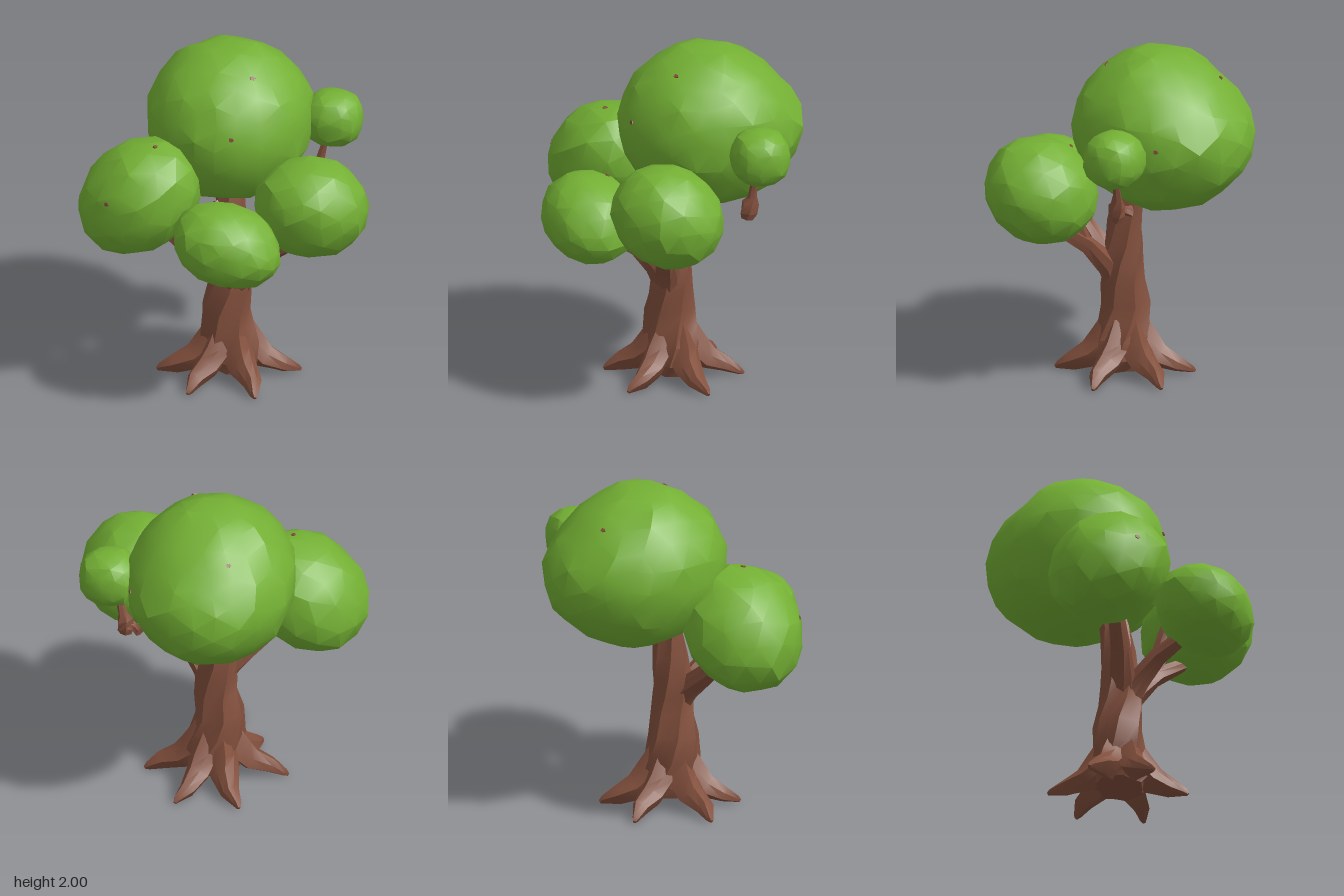
import * as THREE from 'three';
import { mergeVertices, toCreasedNormals } from 'three/addons/utils/BufferGeometryUtils.js';

const V = (x, y, z) => new THREE.Vector3(x, y, z);

// Repeatable value in -1..1 from a position and a seed
function jitter(p, seed) {
  const s = Math.sin(Math.round(p.x * 100) * 1.27 + Math.round(p.y * 100) * 3.11 + Math.round(p.z * 100) * 7.47 + seed * 5.3) * 4375.85;
  return (s - Math.floor(s)) * 2 - 1;
}

// Tapered limb lofted along [x, y, z, radius] stations, with gnarled ridges that twist
function limb(stations, sides, ridge = 0.1, twist = 0.25) {
  const centres = stations.map(s => V(s[0], s[1], s[2]));
  const n = centres.length;
  const ref = centres[n - 1].clone().sub(centres[0]).normalize().cross(V(0, 1, 0));
  if (ref.length() < 0.25) ref.set(0, 0, 1);
  const pos = [], index = [];
  centres.forEach((c, i) => {
    const t = centres[Math.min(i + 1, n - 1)].clone().sub(centres[Math.max(i - 1, 0)]).normalize();
    const u = ref.clone().addScaledVector(t, -ref.dot(t)).normalize();
    const v = t.clone().cross(u);
    for (let j = 0; j < sides; j++) {
      const a = (j / sides) * Math.PI * 2 + i * twist;
      const r = stations[i][3] * (1 + ridge * (j % 2 ? -1 : 1) + ridge * 0.5 * Math.sin(j * 2.4 + i * 1.3));
      const p = c.clone().addScaledVector(u, r * Math.cos(a)).addScaledVector(v, r * Math.sin(a));
      pos.push(p.x, Math.max(p.y, 0), p.z);
    }
  });
  const first = n * sides, last = first + 1;
  for (const c of [centres[0], centres[n - 1]]) pos.push(c.x, c.y, c.z);
  for (let j = 0; j < sides; j++) {
    const k = (j + 1) % sides;
    for (let i = 0; i < n - 1; i++) {
      const a = i * sides + j, b = i * sides + k;
      index.push(a, b, b + sides, a, b + sides, a + sides);
    }
    index.push(first, k, j, last, (n - 1) * sides + j, (n - 1) * sides + k);
  }
  const g = new THREE.BufferGeometry();
  g.setAttribute('position', new THREE.Float32BufferAttribute(pos, 3));
  g.setIndex(index);
  return toCreasedNormals(g, 0.5);
}

// Uneven faceted leaf clump: power above 2 is boxier, lean slants it in x and z,
// backCut trims the upper back
function clump({ radii, seed, detail = 2, power = 2, lean = [0, 0], backCut = 0 }) {
  let g = new THREE.IcosahedronGeometry(1, detail);
  g.deleteAttribute('uv');
  g.deleteAttribute('normal');
  g = mergeVertices(g, 1e-3);
  const p = g.attributes.position, q = V(0, 0, 0);
  for (let i = 0; i < p.count; i++) {
    q.fromBufferAttribute(p, i);
    const bump = 1 + 0.02 * jitter(q, seed) - backCut * 2 * Math.max(0, q.y) * Math.max(0, -q.z);
    const slide = V(jitter(q, seed + 1), jitter(q, seed + 2), jitter(q, seed + 3));
    q.addScaledVector(slide, 0.2 / (detail + 1));
    const size = (Math.abs(q.x) ** power + Math.abs(q.y) ** power + Math.abs(q.z) ** power) ** (1 / power);
    q.multiplyScalar(bump / size);
    const y = q.y * radii[1];
    p.setXYZ(i, q.x * radii[0] + lean[0] * y, y, q.z * radii[2] + lean[1] * y);
  }
  return toCreasedNormals(g, 0.42);
}

export function createModel() {
  const tree = new THREE.Group();
  tree.name = 'tree';
  const bark = new THREE.MeshStandardMaterial({ color: 0x83503d });
  bark.name = 'bark brown';
  const leaf = new THREE.MeshStandardMaterial({ color: 0x74b034 });
  leaf.name = 'leaf green';
  const add = (name, geometry, material) => {
    const m = new THREE.Mesh(geometry, material);
    m.name = name;
    tree.add(m);
    return m;
  };

  // Trunk, swaying as it runs up into the crown
  add('trunk', limb([
    [0, 0.05, 0, 0.14], [0.01, 0.12, 0, 0.17], [0.01, 0.2, 0, 0.16], [-0.015, 0.3, 0.005, 0.148],
    [-0.025, 0.42, 0.01, 0.138], [0.005, 0.56, 0.015, 0.122], [0.005, 0.68, 0.01, 0.115], [-0.005, 0.8, 0, 0.104],
    [0, 0.92, -0.005, 0.094], [0, 1.05, -0.02, 0.085], [0, 1.35, -0.1, 0.06],
  ], 14, 0.07, 0.2), bark);

  // Six flaring roots: heading in degrees from +x towards +z, and reach
  const roots = [[60, 0.4], [119, 0.4], [173, 0.42], [238, 0.41], [292, 0.41], [350, 0.41]];
  roots.forEach(([heading, reach], i) => {
    const bend = i % 2 ? 0.02 : -0.02;
    const root = add('root', limb([
      [0.06, 0.32, 0, 0.06], [0.12, 0.18, 0, 0.085], [0.2, 0.1, bend * 0.5, 0.075],
      [reach * 0.76, 0.055, bend, 0.05], [reach - 0.02, 0.02, 0, 0.022], [reach, 0.008, 0, 0.01],
    ], 8, 0.1, 0.1), bark);
    root.rotation.y = -heading * Math.PI / 180;
  });

  // Main branches, each with a side twig
  const branches = {
    rightBranch: [[0, 0.56, 0.03, 0.06], [-0.07, 0.71, 0.07, 0.068], [-0.2, 0.84, 0.13, 0.055], [-0.36, 1.0, 0.19, 0.044], [-0.46, 1.14, 0.22, 0.025]],
    leftBranch: [[0.01, 0.48, 0.03, 0.07], [0.085, 0.66, 0.06, 0.068], [0.21, 0.81, 0.12, 0.053], [0.41, 0.95, 0.19, 0.04], [0.52, 1.08, 0.22, 0.025]],
    frontBranch: [[0, 0.55, 0.04, 0.07], [0.02, 0.71, 0.12, 0.064], [0.03, 0.84, 0.24, 0.05], [0.05, 0.94, 0.4, 0.04], [0.06, 1.05, 0.5, 0.025]],
  };
  for (const [name, path] of Object.entries(branches)) {
    add(name, limb(path, 8, 0.09, 0.2), bark);
    const [x, y, z] = path[2];
    add(name + 'Twig', limb([
      [x, y, z, 0.04], [x * 1.28, y + 0.13, z * 1.1, 0.03], [x * 1.42, y + 0.24, z * 1.25, 0.018],
    ], 6), bark);
  }

  // Bough stub carrying the smallest clump, with a cut fork
  add('smallBough', limb([
    [0.46, 1.1, -0.29, 0.035], [0.465, 1.14, -0.295, 0.05], [0.47, 1.2, -0.3, 0.048],
    [0.48, 1.24, -0.31, 0.026], [0.5, 1.33, -0.31, 0.02], [0.54, 1.45, -0.32, 0.014],
  ], 6), bark);
  add('smallBoughFork', limb([[0.46, 1.16, -0.295, 0.04], [0.41, 1.15, -0.3, 0.026], [0.37, 1.14, -0.32, 0.034]], 6), bark);

  // Leaf clumps
  const clumps = {
    crownLeaves: [[-0.035, 1.525, -0.25], { radii: [0.49, 0.48, 0.55], seed: 1, detail: 3, backCut: 0.1 }],
    rightLeaves: [[-0.49, 1.2, 0.22], { radii: [0.35, 0.35, 0.35], seed: 2, lean: [0.22, 0] }],
    leftLeaves: [[0.51, 1.2, 0.22], { radii: [0.335, 0.31, 0.325], seed: 3, lean: [0, 0.12] }],
    frontLeaves: [[0.065, 1.075, 0.535], { radii: [0.305, 0.24, 0.27], seed: 4, power: 2.15, lean: [-0.25, 0] }],
    smallLeaves: [[0.55, 1.51, -0.335], { radii: [0.175, 0.165, 0.17], seed: 5, power: 2.4 }],
  };
  const leaves = {};
  for (const [name, [centre, shape]] of Object.entries(clumps)) {
    leaves[name] = add(name, clump(shape), leaf);
    leaves[name].position.set(...centre);
    leaves[name].updateMatrixWorld();
  }

  // Fine twigs whose tips just break the leaf surface: clump, aim point outside it
  const twigs = [
    ['crownLeaves', [0.18, 2.0, 0.1]], ['crownLeaves', [0.07, 1.64, 0.4]],
    ['crownLeaves', [-0.26, 1.95, -0.64]], ['crownLeaves', [0.5, 1.55, -0.58]],
    ['rightLeaves', [-0.37, 1.62, 0.28]], ['rightLeaves', [-0.69, 1.29, 0.6]],
    ['frontLeaves', [-0.05, 1.35, 0.35]],
  ];
  for (const [name, aim] of twigs) {
    const end = V(...aim), inside = leaves[name].position;
    const inward = inside.clone().sub(end).normalize();
    const hit = new THREE.Raycaster(end, inward).intersectObject(leaves[name])[0];
    const tip = hit.point.addScaledVector(inward, -0.006);
    const mid = tip.clone().lerp(inside, 0.5);
    add('fineTwig', limb([[...inside, 0.03], [...mid, 0.024], [...tip, 0.014]], 5), bark);
  }
  return tree;
}
